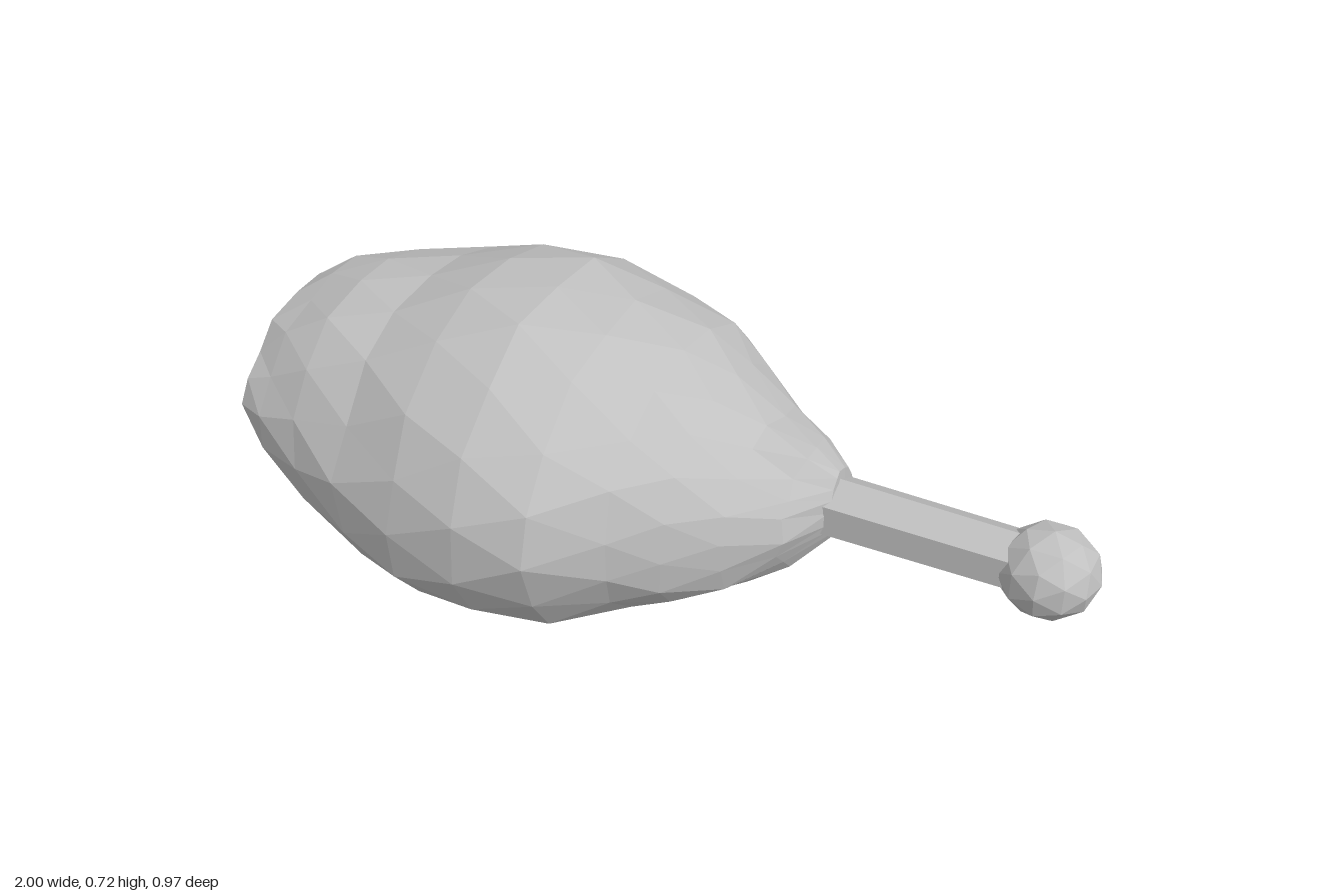
import * as THREE from 'three';

const SIDES = 18;

// Repeatable wobble in the range -1..1
function makeWobble(seed) {
  return () => {
    seed = (seed * 16807) % 2147483647;
    return (seed / 2147483647) * 2 - 1;
  };
}

// Cross-sections along the meat: x, top y, bottom y, front z, back z
const SECTIONS = [
  [-0.94, 0.54, 0.21, 0.285, -0.20],
  [-0.87, 0.59, 0.12, 0.32, -0.30],
  [-0.75, 0.63, 0.03, 0.37, -0.38],
  [-0.60, 0.655, -0.04, 0.425, -0.44],
  [-0.43, 0.71, -0.06, 0.475, -0.455],
  [-0.26, 0.725, -0.05, 0.485, -0.485],
  [-0.10, 0.685, -0.01, 0.46, -0.445],
  [0.04, 0.63, 0.05, 0.375, -0.395],
  [0.14, 0.58, 0.085, 0.31, -0.32],
  [0.25, 0.51, 0.13, 0.235, -0.24],
  [0.35, 0.47, 0.205, 0.145, -0.165],
  [0.42, 0.44, 0.28, 0.06, -0.08],
];

// Local bumps and hollows: centre, radius, push
const DENTS = [
  // raised corner on the upper back edge
  { at: [-0.70, 0.56, -0.36], radius: 0.17, push: [-0.02, 0.05, -0.05] },
  // hollow in the blunt end
  { at: [-0.86, 0.45, -0.30], radius: 0.2, push: [0.06, -0.02, 0.05] },
  // hollow under the back ridge
  { at: [-0.62, 0.27, -0.45], radius: 0.24, push: [0, 0, 0.09] },
  // shallow hollow nearer the bone
  { at: [-0.04, 0.30, -0.42], radius: 0.18, push: [0, 0, 0.05] },
].map(({ at, radius, push }) => ({
  at: new THREE.Vector3(...at), radius, push: new THREE.Vector3(...push),
}));

const bend = (v, n) => Math.sign(v) * Math.pow(Math.abs(v), 2 / n);

function meatGeometry() {
  const wobble = makeWobble(4711);
  const points = [];

  SECTIONS.forEach(([x, top, bottom, front, back], i) => {
    const mid = bottom + (top - bottom) * 0.46;
    const amount = i === SECTIONS.length - 1 ? 0.003 : 0.009;
    for (let j = 0; j < SIDES; j++) {
      const a = ((j + (i % 2) * 0.5) / SIDES) * Math.PI * 2;
      const up = Math.sin(a) > 0, toFront = Math.cos(a) > 0;
      // Sloping shoulders above, fuller flank below at the front
      const n = up ? 1.95 : toFront ? 2.25 : 2.0;
      const c = bend(Math.cos(a), n), s = bend(Math.sin(a), n);
      const base = new THREE.Vector3(
        x + wobble() * amount,
        mid + s * (up ? top - mid : mid - bottom) + wobble() * amount,
        c * (toFront ? front : -back) + wobble() * amount
      );
      const p = base.clone();
      for (const { at, radius, push } of DENTS) {
        p.addScaledVector(push, Math.max(0, 1 - base.distanceTo(at) / radius));
      }
      // Flat underside
      points.push(p.x, Math.max(0, p.y), p.z);
    }
  });

  const rings = SECTIONS.length;
  const tip = rings * SIDES, neck = tip + 1;
  points.push(-1, 0.39, 0.1, 0.43, 0.36, -0.01);
  const faces = [];
  for (let j = 0; j < SIDES; j++) {
    const k = (j + 1) % SIDES;
    for (let i = 0; i < rings - 1; i++) {
      const a = i * SIDES + j, b = i * SIDES + k;
      const c = a + SIDES, d = b + SIDES;
      // Rings are staggered by half a step, so the diagonal alternates
      if (i % 2) faces.push(a, c, d, a, d, b);
      else faces.push(a, c, b, b, c, d);
    }
    const end = (rings - 1) * SIDES;
    faces.push(tip, j, k, neck, end + k, end + j);
  }
  const geometry = new THREE.BufferGeometry();
  geometry.setAttribute('position', new THREE.Float32BufferAttribute(points, 3));
  geometry.setIndex(faces);
  const flat = geometry.toNonIndexed();
  flat.computeVertexNormals();
  return flat;
}

export function createModel() {
  const group = new THREE.Group();
  group.name = 'drumstick';
  const grey = new THREE.MeshStandardMaterial({ color: 0xc0c0c0 });
  grey.name = 'light grey';
  grey.flatShading = true;

  const add = (name, geometry) => {
    const mesh = new THREE.Mesh(geometry, grey);
    mesh.name = name;
    group.add(mesh);
    return mesh;
  };

  // Faceted meat
  add('meat', meatGeometry());

  // Six-sided bone with an edge along the top
  const shaft = new THREE.CylinderGeometry(0.069, 0.074, 0.5, 6);
  shaft.rotateY(Math.PI / 2);
  shaft.rotateZ(-Math.PI / 2);
  add('boneShaft', shaft).position.set(0.58, 0.352, 0.003);

  // Faceted knob at the end of the bone
  const knob = new THREE.IcosahedronGeometry(0.108, 1);
  knob.scale(1.03, 0.95, 1);
  add('boneKnob', knob).position.set(0.889, 0.347, 0);

  return group;
}
